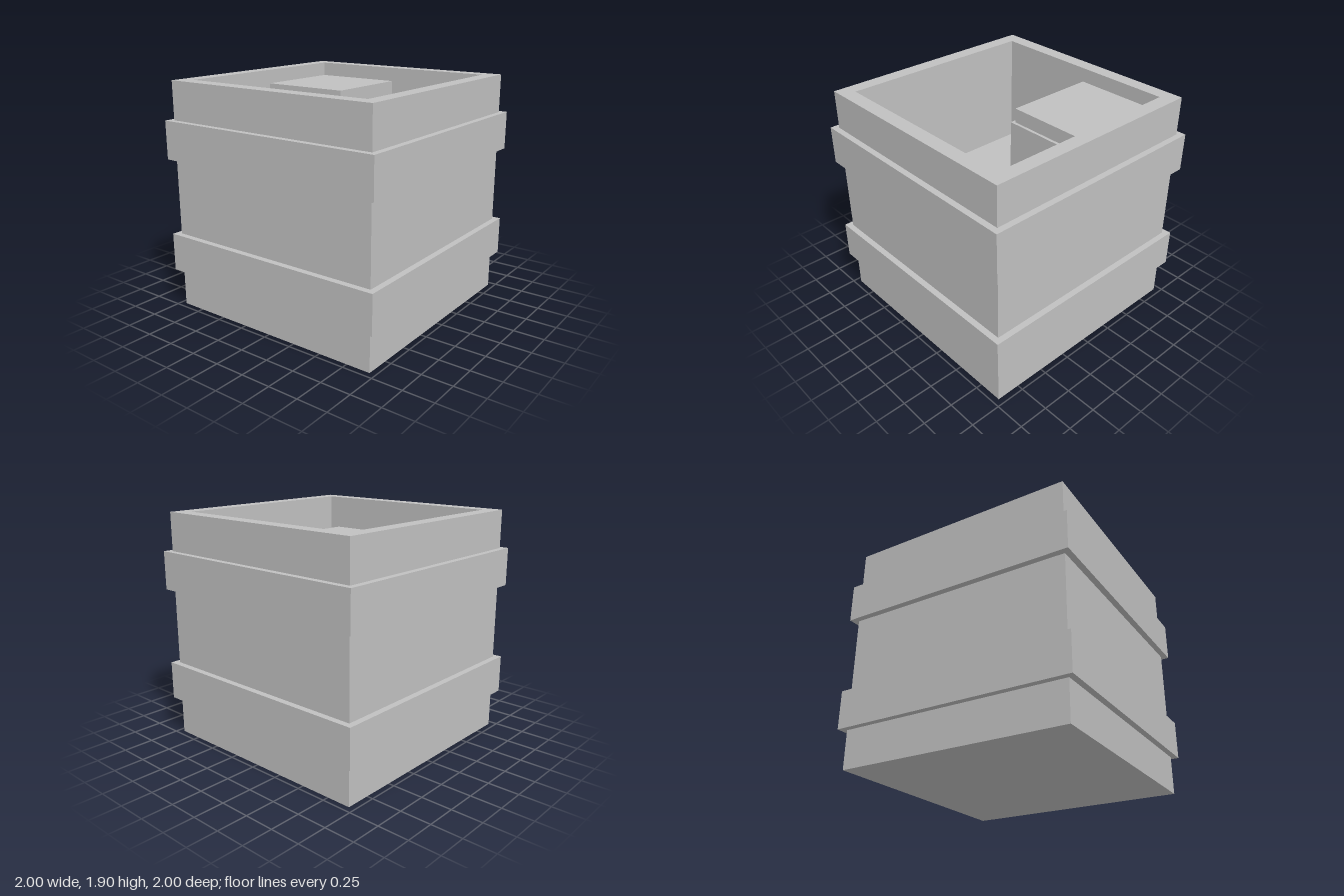
import * as THREE from 'three';

const HALF = 0.95;            // half width of the crate walls
const U = HALF / 8;           // basic unit: wall, floor and lid thickness
const INNER = HALF - U;       // half width of the cavity

const grey = new THREE.MeshStandardMaterial({ color: 0xc0c0c0 });
grey.name = 'grey';

// Square solid from a half-width/height profile, turned in four flat sides
function squareTurn(name, profile) {
  const points = profile.map(([w, y]) => new THREE.Vector2(w * Math.SQRT2, y));
  const geometry = new THREE.LatheGeometry(points, 4, Math.PI / 4).toNonIndexed();
  geometry.computeVertexNormals();
  const mesh = new THREE.Mesh(geometry, grey);
  mesh.name = name;
  return mesh;
}

// Block filling one quarter of the cavity, set back from the centre lines by gap
function quarterBlock(name, sx, sz, gap, y0, y1) {
  const size = INNER - gap;
  const mesh = new THREE.Mesh(new THREE.BoxGeometry(size, y1 - y0, size), grey);
  mesh.position.set(sx * (INNER + gap) / 2, (y0 + y1) / 2, sz * (INNER + gap) / 2);
  mesh.name = name;
  return mesh;
}

// Body with a slightly smaller lid
function smallBox(sx, sz, y) {
  const group = new THREE.Group();
  group.name = 'smallBox';
  group.add(
    quarterBlock('boxBody', sx, sz, 0.025, y, y + 6 * U),
    quarterBlock('boxLid', sx, sz, 0.05, y + 6 * U, y + 7 * U)
  );
  return group;
}

export function createModel() {
  const model = new THREE.Group();
  model.name = 'packedCrate';

  // Open crate with walls and floor
  model.add(squareTurn('crate', [
    [0, 0], [HALF, 0], [HALF, 2 * HALF], [INNER, 2 * HALF], [INNER, U], [0, U],
  ]));

  // Two raised bands around the outside
  const sixth = HALF / 3;
  for (const y of [sixth, 4 * sixth]) {
    model.add(squareTurn('band', [
      [HALF, y], [1, y], [1, y + sixth], [HALF, y + sixth],
    ]));
  }

  // One box in each quarter, a second one stacked in the back corner
  for (const sx of [-1, 1]) {
    for (const sz of [-1, 1]) model.add(smallBox(sx, sz, U));
  }
  model.add(smallBox(-1, -1, 8 * U));

  return model;
}
